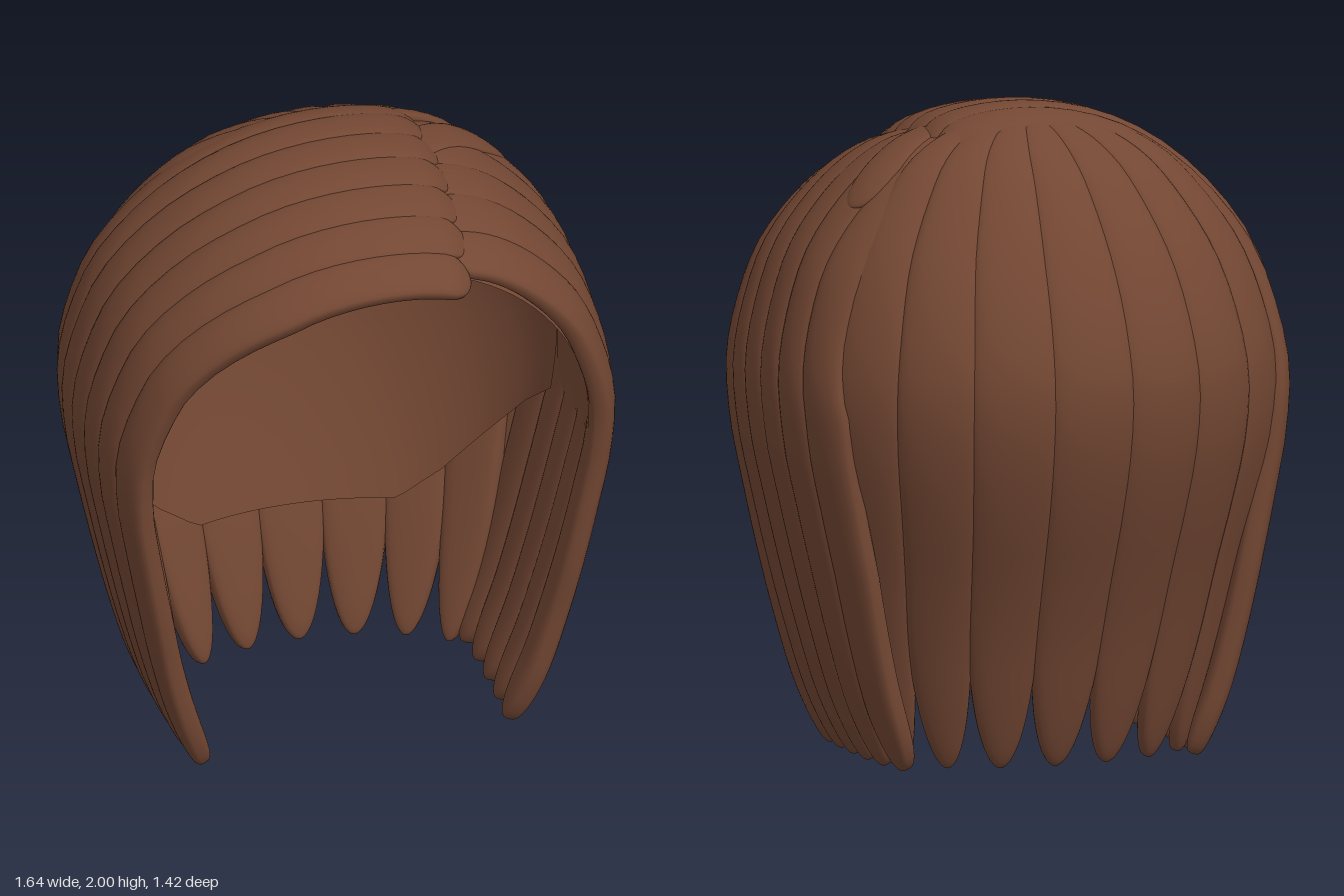
import * as THREE from 'three';

const V = (x, y, z = 0) => new THREE.Vector3(x, y, z);

// Linear lookup in [key, value] pairs with falling keys
function lookup(table, k) {
  if (k >= table[0][0]) return table[0][1];
  for (let i = 1; i < table.length; i++) {
    const [k0, v0] = table[i - 1], [k1, v1] = table[i];
    if (k >= k1) return v0 + (v1 - v0) * (k0 - k) / (k0 - k1);
  }
  return table[table.length - 1][1];
}

// Front and rear borders of the side hair, z by height
const lowFront = [[1.2, 0.55], [1, 0.525], [0.6, 0.485], [0.4, 0.45], [0.2, 0.425], [0, 0.39]];
const lowRear = [[1.4, -0.34], [1.1, -0.39], [0.6, -0.39], [0, -0.34]];
const rightBorders = [
  [[2, 0.71], [1.9, 0.7], [1.8, 0.67], [1.7, 0.64], [1.5, 0.595], ...lowFront],
  [[2, -0.17], [1.8, -0.24], ...lowRear],
];
const leftBorders = [
  [[2, 0.61], [1.8, 0.6], [1.5, 0.58], ...lowFront],
  [[2, -0.26], [1.8, -0.29], ...lowRear],
];

// Narrowing and lowering of the head's arch along z
const scaleX = z => (z < 0 ? Math.sqrt(1 - (z / 0.85) ** 2) : 1 - 0.1 * (z / 0.6) ** 3);
const scaleY = z => (z < 0 ? 1 - 1.7 * z * z : 1 - 0.21 * (z / 0.68) ** 2);
const lowerArch = (y, z) => (y > 1.1 ? 1.1 + (y - 1.1) * scaleY(z) : y);

// Side hair drapes from the parting over the head and down
const flank = [[0.7, 1.6], [0.78, 1.4], [0.82, 1.2], [0.81, 1], [0.77, 0.8], [0.725, 0.6], [0.675, 0.4],
  [0.615, 0.2], [0.53, -0.01]];
const curve = pts => new THREE.CatmullRomCurve3(pts.map(p => V(...p)));
const rightCurve = curve([[-0.33, 1.9], [-0.24, 1.965], [0, 2], [0.27, 1.955], [0.5, 1.825], ...flank]);
const leftCurve = curve([[0.25, 1.93], [0.4, 1.885], [0.54, 1.79], ...flank]);

function sideHull(path, [front, rear], sign) {
  return (u, t) => {
    const p = path.getPointAt(THREE.MathUtils.clamp(t, 0, 1));
    const z = THREE.MathUtils.lerp(lookup(front, p.y), lookup(rear, p.y), u);
    return V(sign * p.x * scaleX(z), lowerArch(p.y, z), z);
  };
}

// Back hair fans out from the crown; u is the angle from straight back.
// Curve points hold (half width, height, depth).
const backCurve = curve([[0.12, 1.975, 0.1], [0.3, 1.94, 0.2], [0.43, 1.885, 0.29], [0.53, 1.81, 0.385],
  [0.7, 1.6, 0.555], [0.78, 1.4, 0.66], [0.82, 1.2, 0.71], [0.81, 1, 0.69], [0.77, 0.8, 0.63],
  [0.725, 0.6, 0.55], [0.685, 0.4, 0.475], [0.635, 0.2, 0.415], [0.575, -0.01, 0.355]]);
const backHull = (u, t) => {
  const p = backCurve.getPointAt(THREE.MathUtils.clamp(t, 0, 1));
  return V(Math.sin(u) * p.x, p.y, -Math.cos(u) * p.z);
};

function gridGeometry(points, rows, cols, closed) {
  const index = [], n = closed ? cols : cols - 1;
  for (let i = 0; i < rows - 1; i++) {
    for (let j = 0; j < n; j++) {
      const a = i * cols + j, b = i * cols + (j + 1) % cols;
      index.push(a, a + cols, b, b, a + cols, b + cols);
    }
  }
  // Make closed forms face outwards
  let volume = 0;
  for (let i = 0; closed && i < index.length; i += 3) {
    volume += points[index[i]].dot(points[index[i + 1]].clone().cross(points[index[i + 2]]));
  }
  if (volume < 0) index.reverse();
  const geometry = new THREE.BufferGeometry().setFromPoints(points);
  geometry.setIndex(index);
  geometry.computeVertexNormals();
  return geometry;
}

// A lens-shaped lock of hair lying just under a hull surface
function lockGeometry(hull, { mid, half, thick, tip, start, thinTop, skew = 0, lift = 0, end = 1 }) {
  const rows = 48, cols = 28, points = [], e = 0.004;
  const origin = V(0, 1, 0);
  for (let i = 0; i < rows; i++) {
    const s = 0.5 - 0.5 * Math.cos(Math.PI * i / (rows - 1));
    const t = s * end;
    const q = Math.max(0, (s - 1 + tip) / tip), r = Math.max(0, 1 - s / start);
    const taper = Math.max(0.002, Math.sqrt(Math.max(0, 1 - q ** 2.8)) * Math.sqrt(Math.max(0, 1 - r ** 3)));
    const depth = thick * THREE.MathUtils.lerp(thinTop, 1, THREE.MathUtils.smoothstep(s, 0, 0.35));
    const centre = mid + skew * (1 - s) ** 2;
    for (let j = 0; j < cols; j++) {
      const a = j / cols * Math.PI * 2;
      const u = centre + half * taper * Math.cos(a);
      const p = hull(u, t);
      const du = hull(u + e, t).sub(hull(u - e, t));
      const dt = hull(u, t + e).sub(hull(u, t - e));
      const normal = du.cross(dt).normalize();
      if (normal.dot(p.clone().sub(origin)) < 0) normal.negate();
      const bulge = Math.sign(Math.sin(a)) * Math.abs(Math.sin(a)) ** 0.6;
      points.push(p.addScaledVector(normal, depth * (Math.sqrt(taper) * bulge - 1) + lift));
    }
  }
  return gridGeometry(points, rows, cols, true);
}

// Rear half of the inner cap: a dome with a low, straight nape
function capBackGeometry() {
  const rows = 32, cols = 49, points = [];
  const rim = [[90, 0.95], [75, 0.84], [60, 0.69], [45, 0.54], [31, 0.44], [0, 0.44]];
  for (let i = 0; i < rows; i++) {
    const v = i / (rows - 1);
    for (let j = 0; j < cols; j++) {
      const deg = -90 + 180 * j / (cols - 1), a = deg * Math.PI / 180;
      const y = 1.9 - (1.9 - lookup(rim, Math.abs(deg))) * v * v;
      const k = y > 1.15 ? Math.sqrt(Math.max(0, 1 - ((y - 1.15) / 0.75) ** 2)) : 1;
      const low = (Math.max(0, 1.15 - y) / 0.71) ** 1.4;
      points.push(V(Math.sin(a) * k * (0.73 - 0.12 * low), y, -Math.cos(a) * k * (0.58 - 0.2 * low)));
    }
  }
  return gridGeometry(points, rows, cols, false);
}

// Front half of the inner cap: an arch running forward to the face opening
function capFrontGeometry() {
  const rows = 14, cols = 49, points = [];
  for (let i = 0; i < rows; i++) {
    const v = i / (rows - 1), drop = 0.27 - 0.14 * v;
    for (let j = 0; j < cols; j++) {
      const a = -drop + (Math.PI + 2 * drop) * j / (cols - 1);
      const z = v * (0.5 + 0.08 * Math.max(0, Math.sin(a)));
      const x = 0.73 * Math.cos(THREE.MathUtils.clamp(a, 0, Math.PI)) * scaleX(z);
      points.push(V(x, lowerArch(1.15 + 0.75 * Math.sin(a), z), z));
    }
  }
  return gridGeometry(points, rows, cols, false);
}

export function createModel() {
  const hair = new THREE.MeshStandardMaterial({ color: 0x734733 });
  hair.name = 'brown hair';
  const lining = hair.clone();
  lining.name = 'brown lining';
  lining.side = THREE.DoubleSide;

  const model = new THREE.Group();
  model.name = 'bobHair';
  const add = (name, geometry, material = hair) => {
    const mesh = new THREE.Mesh(geometry, material);
    mesh.name = name;
    model.add(mesh);
  };

  add('innerCapBack', capBackGeometry(), lining);
  add('innerCapFront', capFrontGeometry(), lining);

  // Back locks
  for (let i = -3; i <= 3; i++) {
    add('backLock', lockGeometry(backHull, {
      mid: i * 0.314, half: 0.172, thick: 0.042, tip: 0.23, start: 0.04, thinTop: 0.25,
    }));
  }

  // Side locks on each side of the parting
  const sides = [
    ['rightLock', sideHull(rightCurve, rightBorders, -1), 7, 0.05],
    ['leftLock', sideHull(leftCurve, leftBorders, 1), 6, 0.06],
  ];
  for (const [name, hull, count, start] of sides) {
    for (let i = 0; i < count; i++) {
      add(name, lockGeometry(hull, {
        mid: (i + 0.5) / count, half: 0.58 / count, thick: 0.042,
        tip: 0.12, start, thinTop: i ? 0.35 : 0.7,
      }));
    }
  }

  // Short lock sweeping back from the parting
  add('crownLock', lockGeometry(sides[1][1], {
    mid: 0.78, half: 0.1, thick: 0.02, tip: 0.6, start: 0.2, thinTop: 1, skew: -0.18, lift: 0.01, end: 0.18,
  }));

  return model;
}
